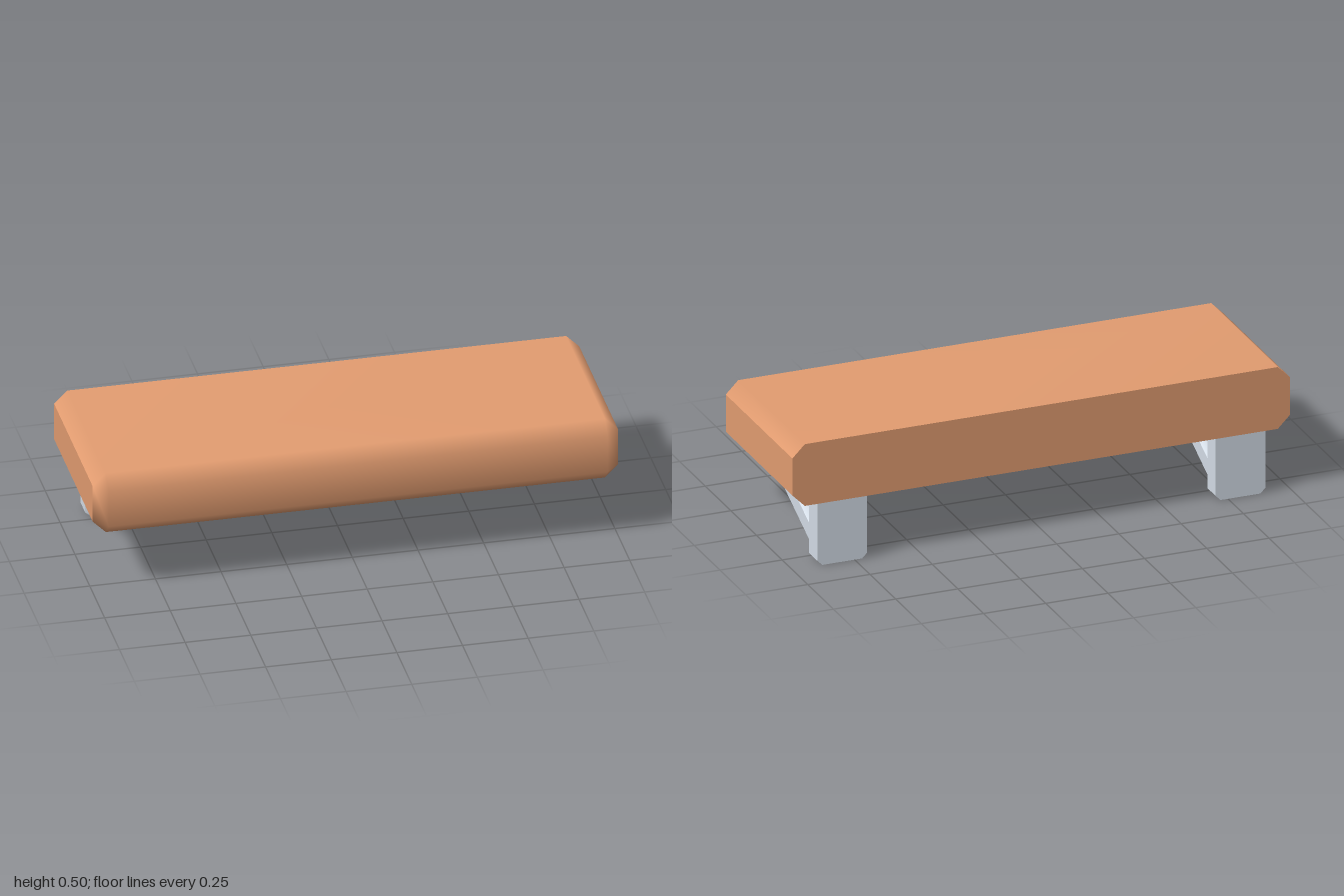
import * as THREE from 'three';

// Box with chamfered edges and a flat, unchamfered back at z = 0.
// Chamfers blend smoothly into top, front and underside; the two ends and the back stay crisp.
function chamferedBox(width, bottom, top, depth, c, topC = c) {
  const w = width / 2, x = w - c, lo = bottom + c, hi = top - topC;
  const ring = [[x, bottom], [w, lo], [w, hi], [x, top], [-x, top], [-w, hi], [-w, lo], [-x, bottom]];
  const pts = [
    ...ring.map(([a, b]) => [a, b, 0]),
    ...ring.map(([a, b]) => [a, b, depth - c]),
    [x, lo, depth], [x, hi, depth], [-x, hi, depth], [-x, lo, depth],
  ];
  const index = [];
  const fan = (ids) => {
    for (let i = 1; i < ids.length - 1; i++) index.push(ids[0], ids[i], ids[i + 1]);
  };
  // own copies of the corners give a hard-edged face
  const sharpFan = (ids) => fan(ids.map((i) => pts.push(pts[i]) - 1));

  // sides running from back to front
  for (let i = 0; i < 8; i++) {
    const j = (i + 1) % 8;
    (i === 1 || i === 5 ? sharpFan : fan)([i, j, j + 8, i + 8]);
  }
  // front chamfers, corner triangles and front face
  [[9, 10, 17, 16], [11, 12, 18, 17], [13, 14, 19, 18], [15, 8, 16, 19],
    [8, 9, 16], [10, 11, 17], [12, 13, 18], [14, 15, 19], [16, 17, 18, 19]].forEach(fan);
  // flat back
  sharpFan([7, 6, 5, 4, 3, 2, 1, 0]);

  const geometry = new THREE.BufferGeometry();
  geometry.setAttribute('position', new THREE.Float32BufferAttribute(pts.flat(), 3));
  geometry.setIndex(index);
  geometry.computeVertexNormals();
  return geometry;
}

export function createModel() {
  const wood = new THREE.MeshStandardMaterial({ color: 0xe29c70 });
  wood.name = 'wood';
  const metal = new THREE.MeshStandardMaterial({ color: 0xd3dce6 });
  metal.name = 'metal';

  const model = new THREE.Group();
  model.name = 'wallShelf';
  const back = -0.35;

  // thick board
  const board = new THREE.Mesh(chamferedBox(2, 0.25, 0.5, 0.7, 0.05), wood);
  board.name = 'board';
  board.position.z = back;
  model.add(board);

  // wall post and sloping brace under each end
  const postGeometry = chamferedBox(0.2, 0, 0.25, 0.1, 0.02, 0);
  const braceGeometry = chamferedBox(0.18, -0.05, 0.05, 0.585, 0.02);
  for (const side of [1, -1]) {
    const bracket = new THREE.Group();
    bracket.name = side > 0 ? 'leftBracket' : 'rightBracket';
    bracket.position.x = 0.8 * side;

    const post = new THREE.Mesh(postGeometry, metal);
    post.name = 'wallPost';
    post.position.z = back;

    const brace = new THREE.Mesh(braceGeometry, metal);
    brace.name = 'brace';
    brace.position.set(0, 0.081, -0.28);
    brace.rotation.x = -THREE.MathUtils.degToRad(25);

    bracket.add(post, brace);
    model.add(bracket);
  }
  return model;
}
